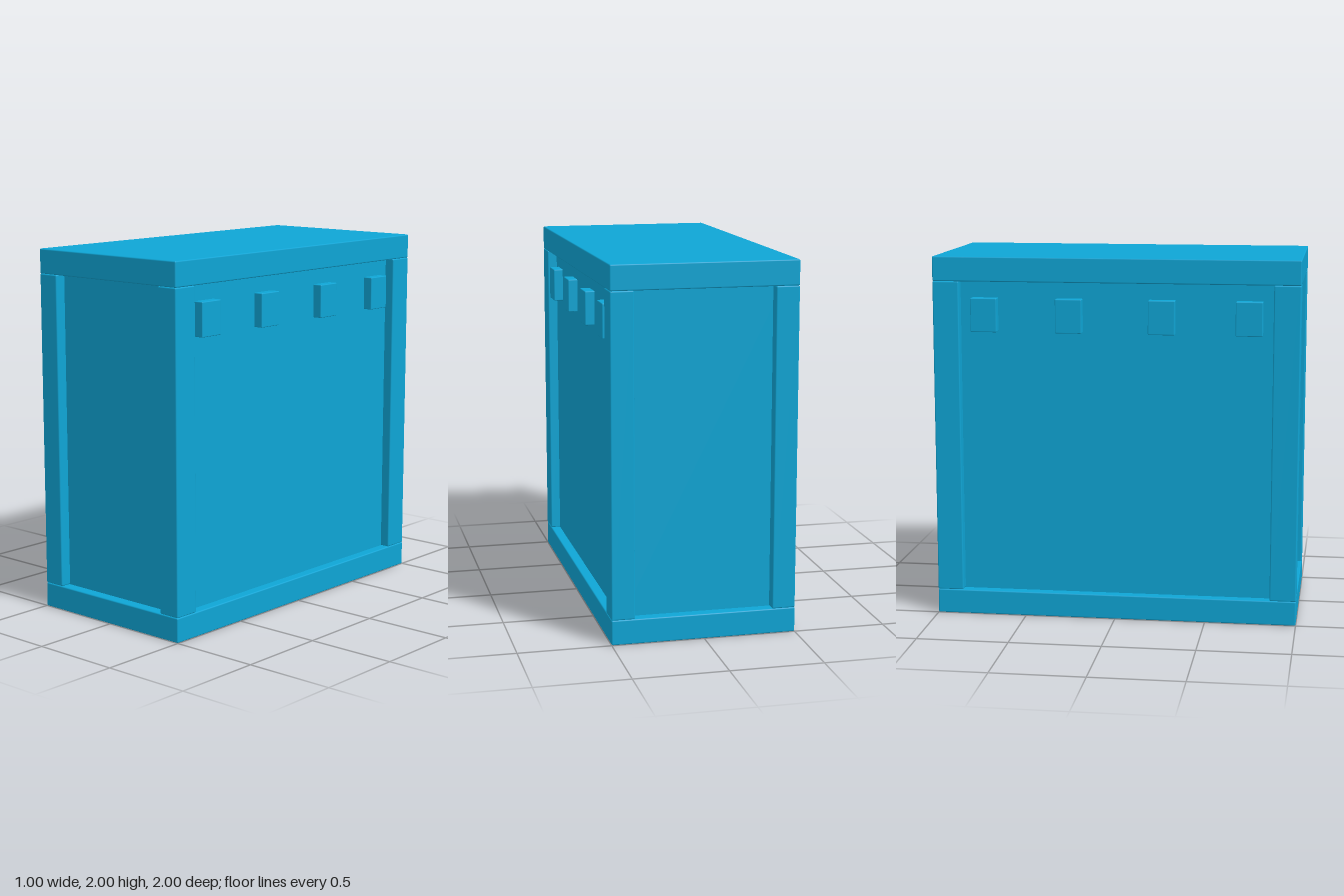
import * as THREE from 'three';
import { RoundedBoxGeometry } from 'three/addons/geometries/RoundedBoxGeometry.js';

export function createModel() {
  const group = new THREE.Group();
  const material = new THREE.MeshStandardMaterial({ color: 0x0ea5d5 });

  // Box with slightly softened edges, placed by its centre
  const addBox = (name, [w, h, d], [x, y, z], radius = 0.007) => {
    const geometry = radius
      ? new RoundedBoxGeometry(w, h, d, 2, radius)
      : new THREE.BoxGeometry(w, h, d);
    const mesh = new THREE.Mesh(geometry, material);
    mesh.name = name;
    mesh.position.set(x, y, z);
    group.add(mesh);
  };

  // Recessed body panels
  addBox('body', [0.89, 1.8, 1.88], [0, 1, 0], 0);

  // Full-width slabs at the bottom and top
  addBox('base', [1, 0.135, 2], [0, 0.0675, 0]);
  addBox('lid', [1, 0.135, 2], [0, 1.9325, 0]);

  for (const sx of [-1, 1]) {
    const side = sx > 0 ? 'left' : 'right';

    // Corner posts
    for (const sz of [-1, 1]) {
      const end = sz > 0 ? 'Front' : 'Back';
      addBox(`${side}${end}Post`, [0.126, 1.73, 0.145], [sx * 0.437, 1, sz * 0.9275]);
    }

    // Row of small blocks under the lid
    [-0.72, -0.253, 0.253, 0.725].forEach((z, i) =>
      addBox(`${side}Block${i + 1}`, [0.07, 0.185, 0.145], [sx * 0.463, 1.6825, z], 0.005));
  }
  return group;
}
